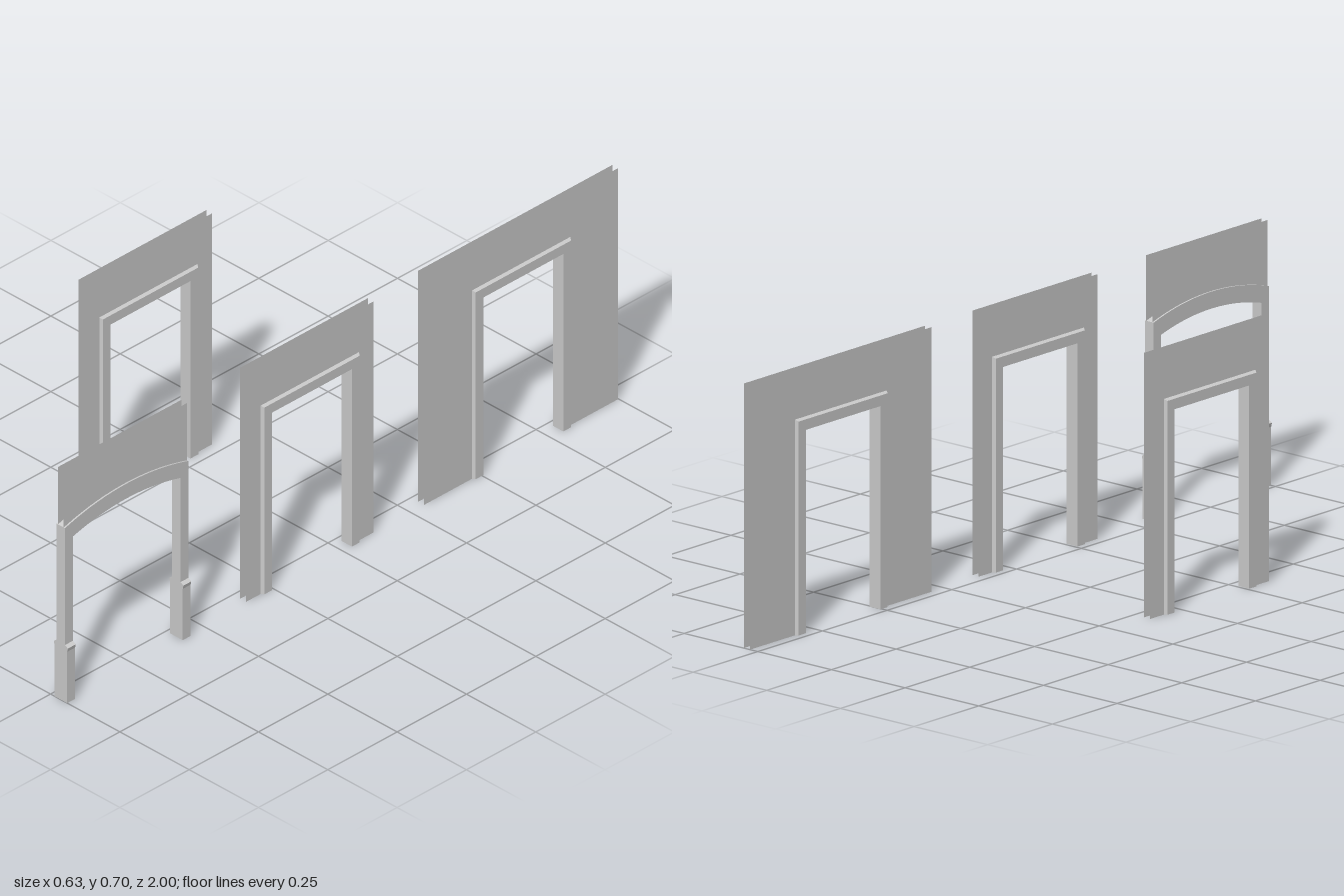
import * as THREE from 'three';

const material = new THREE.MeshStandardMaterial({ color: 0xcccccc, flatShading: true, side: THREE.DoubleSide });

const TOP = 0.703;          // wall height
const SKIN = 0.0105;        // half the gap between the two wall skins
const DOOR = { half: 0.144, height: 0.54, trim: 0.033, reach: 0.0185 };

function addMesh(group, name, geometry) {
  const mesh = new THREE.Mesh(geometry, material);
  mesh.name = name;
  group.add(mesh);
  return mesh;
}

// Two thin, open wall skins facing outwards; the shape is drawn in (z, y)
function addWallSkins(group, shape) {
  for (const side of [1, -1]) {
    const geometry = new THREE.ShapeGeometry(shape, 24).rotateY(side * Math.PI / 2);
    addMesh(group, side > 0 ? 'wallSkinLeft' : 'wallSkinRight', geometry.translate(side * SKIN, 0, 0));
  }
}

// Bevelled casing and reveal, swept with mitred corners up, over and down the opening
function trimGeometry() {
  const { half, height, trim, reach } = DOOR;
  // [x, distance outside the opening]
  const profile = [[SKIN, trim], [reach, trim - 0.005], [reach, 0], [-reach, 0], [-reach, trim - 0.005], [-SKIN, trim]];
  const path = [[-1, 0], [-1, 1], [1, 1], [1, 0]];
  const positions = [], index = [];
  const n = profile.length;
  for (const [side, up] of path) {
    for (const [x, d] of profile) positions.push(x, up * (height + d), side * (half + d));
  }
  for (let i = 0; i < path.length - 1; i++) {
    for (let j = 0; j < n - 1; j++) {
      const a = i * n + j, b = a + n;
      index.push(a, b, b + 1, a, b + 1, a + 1);
    }
  }
  const indexed = new THREE.BufferGeometry();
  indexed.setAttribute('position', new THREE.Float32BufferAttribute(positions, 3));
  indexed.setIndex(index);
  const geometry = indexed.toNonIndexed();
  geometry.computeVertexNormals();
  return geometry;
}

function doorway(name, wallHalf, x, z) {
  const group = new THREE.Group();
  group.name = name;
  const w = DOOR.half + DOOR.trim, h = DOOR.height + DOOR.trim;
  const shape = new THREE.Shape([
    [-wallHalf, 0], [-w, 0], [-w, h], [w, h], [w, 0], [wallHalf, 0], [wallHalf, TOP], [-wallHalf, TOP],
  ].map(([u, y]) => new THREE.Vector2(u, y)));
  addWallSkins(group, shape);
  addMesh(group, 'doorTrim', trimGeometry());
  group.position.set(x, 0, z);
  return group;
}

function archway(x, z) {
  const group = new THREE.Group();
  group.name = 'archway';
  const outer = 0.2225, inner = 0.194, depth = 0.03;
  const centreY = -0.193, innerR = 0.71, outerR = 0.755;
  const angle = (half, r) => Math.acos(half / r);
  const outerA = angle(outer, outerR), innerA = angle(inner, innerR);

  // Posts and shallow arch band in one frame
  const frame = new THREE.Shape();
  frame.moveTo(inner, 0);
  frame.lineTo(outer, 0);
  frame.absarc(0, centreY, outerR, outerA, Math.PI - outerA, false);
  frame.lineTo(-outer, 0);
  frame.lineTo(-inner, 0);
  frame.absarc(0, centreY, innerR, Math.PI - innerA, innerA, true);
  frame.closePath();
  const frameGeometry = new THREE.ExtrudeGeometry(frame, { depth, bevelEnabled: false, curveSegments: 24 });
  addMesh(group, 'archFrame', frameGeometry.translate(0, 0, -depth / 2).rotateY(-Math.PI / 2));

  // Wall above the band
  const wall = new THREE.Shape();
  wall.moveTo(outer, TOP);
  wall.lineTo(-outer, TOP);
  wall.absarc(0, centreY, outerR, Math.PI - outerA, outerA, true);
  wall.closePath();
  addWallSkins(group, wall);

  // Wider post bases with a small flared cap
  const half = [[0.023, 0], [0.023, 0.156], [0.0255, 0.167], [0.015, 0.173]];
  const outline = [...half, ...half.map(([u, y]) => [-u, y]).reverse()];
  const base = new THREE.Shape(outline.map(([u, y]) => new THREE.Vector2(u, y)));
  const thickness = outer - inner;
  for (const side of [1, -1]) {
    const geometry = new THREE.ExtrudeGeometry(base, { depth: thickness, bevelEnabled: false });
    geometry.translate(0, 0, -thickness / 2 + side * (outer + inner) / 2);
    addMesh(group, side > 0 ? 'frontPostBase' : 'backPostBase', geometry);
  }
  group.position.set(x, 0, z);
  return group;
}

export function createModel() {
  const model = new THREE.Group();
  model.name = 'doorwaySet';
  model.add(
    archway(0.287, 0.7775),
    doorway('narrowDoorwayLeft', 0.23, 0.287, 0.113),
    doorway('narrowDoorwayRight', 0.23, -0.2955, 0.113),
    doorway('wideDoorway', 0.35, 0.287, -0.649),
  );
  return model;
}
